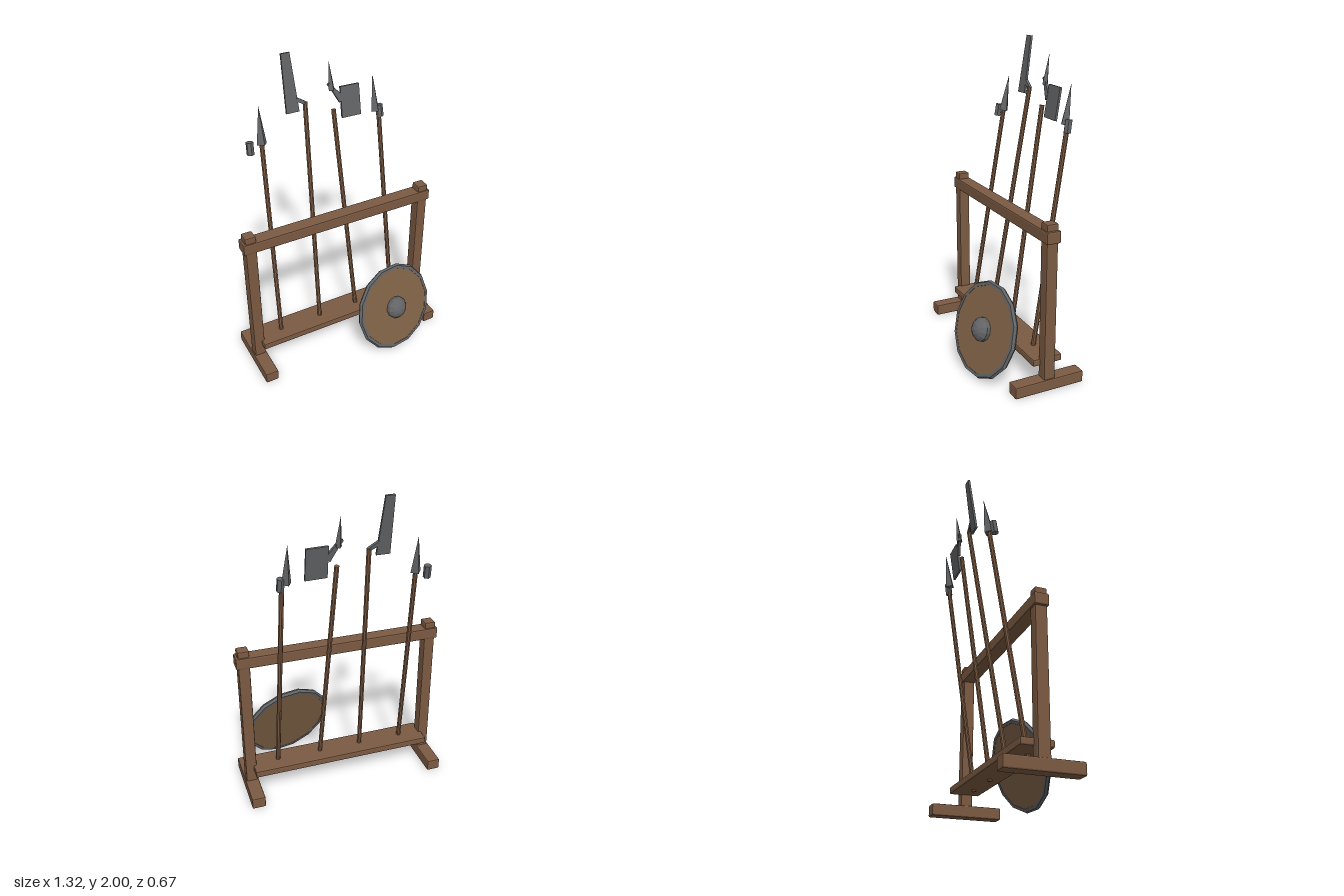
import * as THREE from 'three';
import { RoundedBoxGeometry } from 'three/addons/geometries/RoundedBoxGeometry.js';

const mat = (name, color) => Object.assign(new THREE.MeshStandardMaterial({ color, flatShading: true }), { name });

// All weapons lie in one plane that leans back
const SLOPE = 0.157, Z0 = -0.012;
const P = (x, y) => new THREE.Vector3(x, y, Z0 - SLOPE * y);

export function createModel() {
  const root = new THREE.Group();
  root.name = 'weaponRack';
  const wood = mat('wood', 0x7b5a42);
  const board = mat('shieldWood', 0x7e6146);
  const metal = mat('metal', 0x626365);

  const add = (name, geometry, material, parent = root) => {
    const m = new THREE.Mesh(geometry, material);
    m.name = name;
    parent.add(m);
    return m;
  };

  // Chamfered beam given by its low and high corners
  const beam = (name, x0, x1, y0, y1, z0, z1) => {
    const m = add(name, new RoundedBoxGeometry(x1 - x0, y1 - y0, z1 - z0, 1, 0.009), wood);
    m.position.set((x0 + x1) / 2, (y0 + y1) / 2, (z0 + z1) / 2);
  };

  // Tapered rod between two points
  const rod = (name, a, b, r0, r1, sides, material, twist = 0) => {
    const g = new THREE.CylinderGeometry(r1, r0, a.distanceTo(b), sides).rotateY(twist);
    const m = add(name, g, material);
    m.position.copy(a).lerp(b, 0.5);
    m.quaternion.setFromUnitVectors(new THREE.Vector3(0, 1, 0), b.clone().sub(a).normalize());
  };

  // Flat outline in the leaning plane
  const plate = (name, points, depth) => {
    const k = Math.hypot(1, SLOPE);
    const shape = new THREE.Shape(points.map(([x, y]) => new THREE.Vector2(x, y * k)));
    const g = new THREE.ExtrudeGeometry(shape, { depth, bevelEnabled: false }).translate(0, 0, -depth / 2);
    const m = add(name, g, metal);
    m.rotation.x = -Math.atan(SLOPE);
    m.position.z = Z0;
  };

  // Frame
  for (const [side, s] of [['left', 1], ['right', -1]]) {
    const x = 0.61 * s;
    beam(side + 'Foot', x - 0.044, x + 0.044, 0.005, 0.08, -0.26, 0.198);
    beam(side + 'Post', x - 0.036, x + 0.036, 0.05, 1.045, -0.068, 0.006);
  }
  beam('topRail', -0.66, 0.66, 0.93, 1.005, -0.077, 0.013);
  beam('shelf', -0.595, 0.595, 0.15, 0.195, -0.143, 0.052);

  // Poles: bottom x, top x, top y
  [[-0.435, -0.398, 1.52], [-0.146, -0.094, 1.69], [0.137, 0.09, 1.605], [0.425, 0.405, 1.53]]
    .forEach(([x0, x1, y]) => rod('pole', P(x0, 0.138), P(x1, y), 0.015, 0.015, 8, wood));

  // Spear heads and collars
  rod('spearHead', P(-0.398, 1.5), P(-0.39, 1.73), 0.034, 0, 4, metal, 0.15);
  rod('spearHead', P(0.38, 1.535), P(0.375, 1.77), 0.032, 0, 4, metal, 0.25);
  rod('spearCollar', P(-0.476, 1.452), P(-0.473, 1.53), 0.023, 0.023, 6, metal);
  rod('spearCollar', P(0.414, 1.492), P(0.41, 1.57), 0.023, 0.023, 6, metal);

  // Long blade with its bracket
  plate('longBlade', [[-0.222, 1.645], [-0.138, 1.645], [-0.163, 2.0], [-0.218, 2.0]], 0.014);
  plate('bladeBracket', [[-0.148, 1.705], [-0.09, 1.672], [-0.084, 1.692], [-0.148, 1.733]], 0.018);

  // Axe blade with hook and top spike
  plate('axeBlade', [[0.143, 1.54], [0.275, 1.537], [0.274, 1.734], [0.144, 1.737]], 0.014);
  plate('axeHook', [[0.133, 1.64], [0.147, 1.655], [0.147, 1.69], [0.1, 1.745], [0.075, 1.775], [0.062, 1.763], [0.09, 1.72]], 0.018);
  rod('axeSpike', P(0.088, 1.725), P(0.083, 1.91), 0.022, 0, 4, metal, 0.2);

  // Round shield leaning in front, built facing +z
  const shield = new THREE.Group();
  shield.name = 'shield';
  shield.position.set(0.29, 0.297, 0.222);
  shield.quaternion.setFromUnitVectors(new THREE.Vector3(0, 0, 1), new THREE.Vector3(0.17, 0.32, 1).normalize());
  root.add(shield);
  const SIDES = 14;
  add('shieldBoard', new THREE.CylinderGeometry(0.28, 0.28, 0.03, SIDES).rotateX(Math.PI / 2).rotateZ(Math.PI / 2), board, shield);
  add('shieldRim', new THREE.TorusGeometry(0.281, 0.019, 6, SIDES), metal, shield);
  const profile = [[0.074, 0.01], [0.074, 0.038], [0.058, 0.06], [0.032, 0.078], [0, 0.084]].map(p => new THREE.Vector2(...p));
  add('shieldBoss', new THREE.LatheGeometry(profile, 12).rotateX(Math.PI / 2), metal, shield);

  return root;
}
